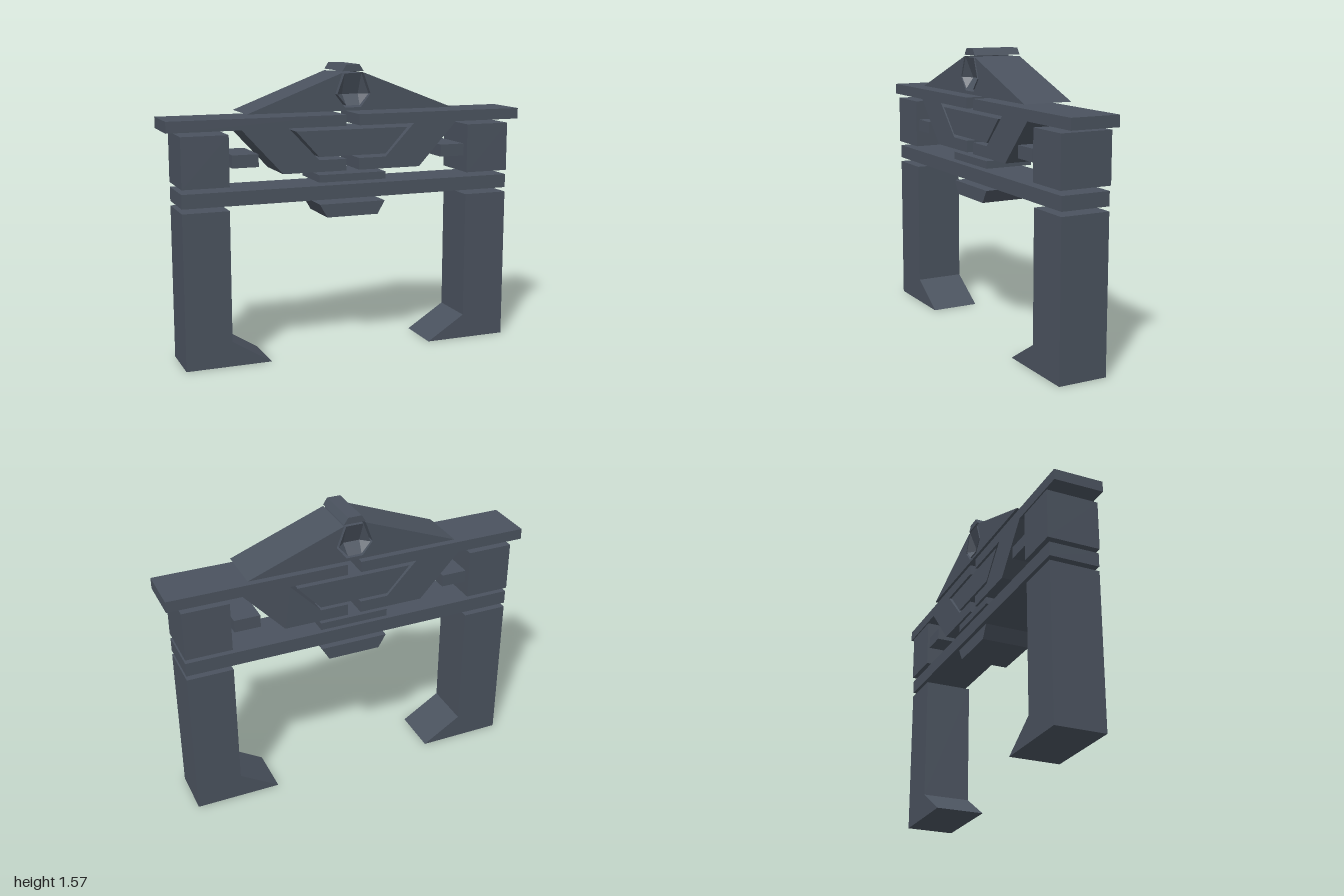
import * as THREE from 'three';

const DEPTH = 0.27;
const stone = new THREE.MeshStandardMaterial({ color: 0x4a525e, flatShading: true });

// Slab with a front outline, extruded evenly about z = 0
function slab(name, points, depth = DEPTH) {
  const shape = new THREE.Shape(points.map(([x, y]) => new THREE.Vector2(x, y)));
  const geometry = new THREE.ExtrudeGeometry(shape, { depth, bevelEnabled: false });
  geometry.translate(0, 0, -depth / 2);
  const mesh = new THREE.Mesh(geometry, stone);
  mesh.name = name;
  return mesh;
}

const rect = (x0, x1, y0, y1) => [[x0, y0], [x1, y0], [x1, y1], [x0, y1]];

// Hexagonal gem whose front and back faces sink to a short valley line
function gem(outline) {
  const z = DEPTH / 2, floor = 0.09, valley = [[0.045, 1.413], [-0.045, 1.413]];
  const pos = [];
  const tri = (a, b, c) => pos.push(...a, ...b, ...c);
  const n = outline.length;
  // nearest valley end for each corner of the outline
  const end = (p) => (p[0] > 0 ? valley[0] : valley[1]);
  for (let i = 0; i < n; i++) {
    const a = outline[i], b = outline[(i + 1) % n];
    for (const s of [1, -1]) {
      const A = [...a, s * z], B = [...b, s * z];
      const C = [...end(b), s * floor], D = [...end(a), s * floor];
      if (s > 0) tri(A, B, C); else tri(A, C, B);
      if (end(a) !== end(b)) {
        if (s > 0) tri(A, C, D); else tri(A, D, C);
      }
    }
    // outer wall
    tri([...a, z], [...a, -z], [...b, -z]);
    tri([...a, z], [...b, -z], [...b, z]);
  }
  const geometry = new THREE.BufferGeometry();
  geometry.setAttribute('position', new THREE.Float32BufferAttribute(pos, 3));
  geometry.computeVertexNormals();
  const mesh = new THREE.Mesh(geometry, stone);
  mesh.name = 'gem';
  return mesh;
}

export function createModel() {
  const model = new THREE.Group();
  model.name = 'gateway';

  // Parts that occur on both sides
  for (const [side, s] of [['left', 1], ['right', -1]]) {
    const add = (name, points, depth) =>
      model.add(slab(`${side}${name}`, points.map(([x, y]) => [s * x, y]), depth));
    add('Leg', [[0.93, 0], [0.93, 0.835], [0.68, 0.835], [0.68, 0.135], [0.465, 0]]);
    add('Block', rect(0.68, 0.93, 0.96, 1.228), 0.284);
    add('Peg', rect(0.522, 0.663, 1.055, 1.122));
    add('TopBeam', rect(0.038, 1, 1.248, 1.307));
    add('Bracket', [[0.61, 1.248], [0.39, 1.01], [0.036, 1.01], [0.036, 1.073],
      [0.19, 1.073], [0.357, 1.248]]);
  }

  // Central parts, bottom to top
  model.add(slab('keystone', [[-0.145, 0.762], [0.145, 0.762], [0.187, 0.834], [-0.187, 0.834]]));
  model.add(slab('lowerBeam', rect(-0.93, 0.93, 0.86, 0.935)));
  model.add(slab('centerSpacer', rect(-0.19, 0.19, 0.953, 0.993)));
  model.add(slab('centerPanel', [[-0.19, 1.09], [0.19, 1.09], [0.317, 1.229], [-0.317, 1.229]]));

  // Roof with an open notch holding the gem
  model.add(slab('roof', [[-0.58, 1.328], [0.58, 1.328], [0.06, 1.527], [0.1, 1.415],
    [0.045, 1.345], [-0.045, 1.345], [-0.1, 1.415], [-0.06, 1.527]]));
  model.add(gem([[0.088, 1.415], [0.047, 1.524], [-0.047, 1.524], [-0.088, 1.415],
    [-0.038, 1.356], [0.038, 1.356]]));
  model.add(slab('roofCap', [[-0.06, 1.535], [0.06, 1.535], [0.037, 1.57], [-0.037, 1.57]]));

  return model;
}
